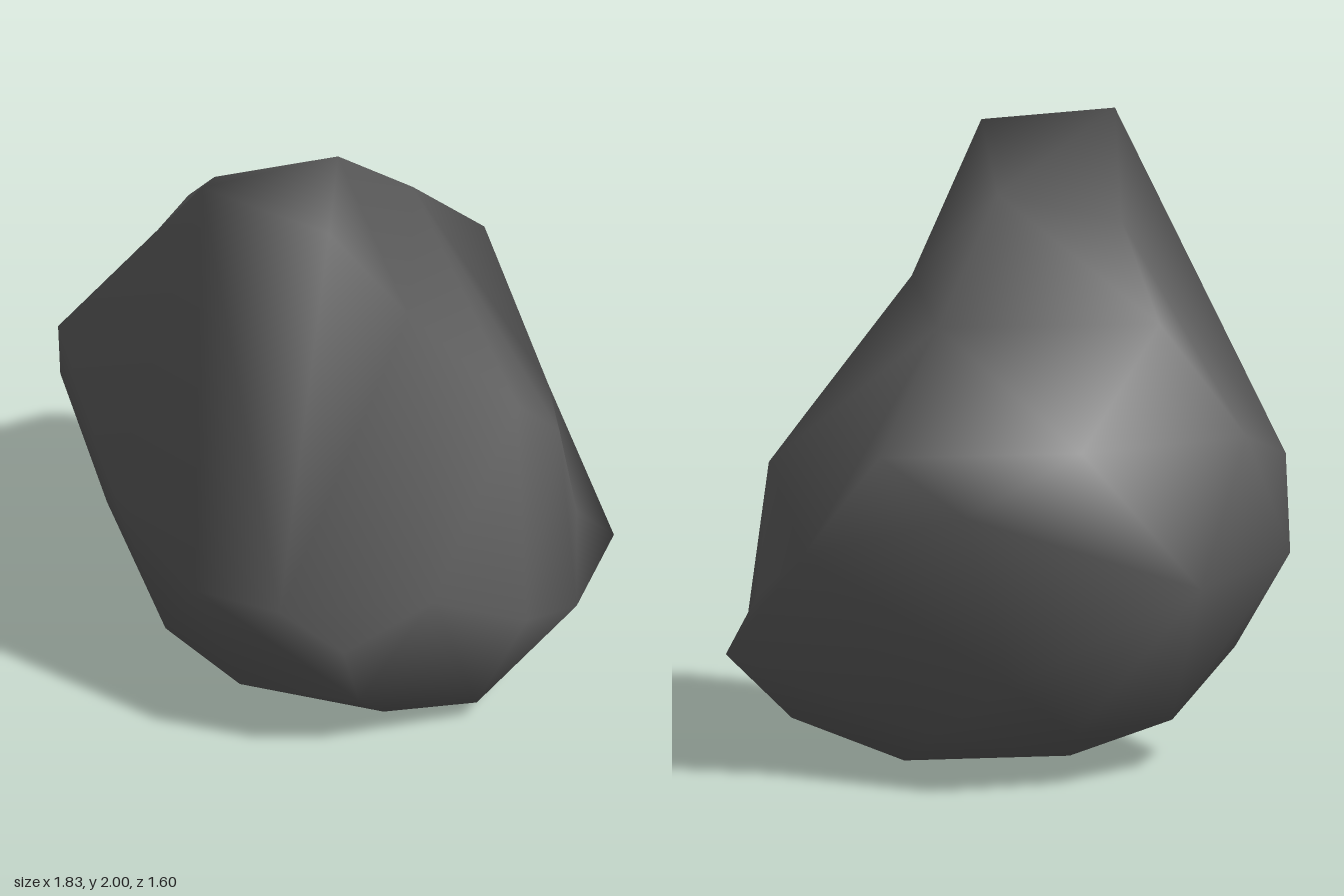
import * as THREE from 'three';
import { ConvexGeometry } from 'three/addons/geometries/ConvexGeometry.js';
import { mergeVertices } from 'three/addons/utils/BufferGeometryUtils.js';

// Corner points of the boulder, [x, y, z], in layers from the peak down
const peak = [
  [-0.04, 2.0, 0.69], [0.4, 1.94, 0.62], [0.06, 1.81, 0.05], [-0.28, 1.72, 0.25],
];
const shoulder = [
  [0.48, 1.48, 0.28], [-0.53, 1.44, 0.02], [0.05, 1.45, -0.4],
  [0.71, 1.07, 0.0], [-0.76, 1.07, 0.18], [-0.83, 1.0, 0.32],
  [0.06, 1.09, -0.8], [-0.51, 1.1, -0.5],
];
const belly = [
  [-0.92, 0.71, 0.17], [-0.9, 0.68, -0.43], [-0.2, 0.9, -0.71], [0.42, 0.72, -0.62],
  [0.78, 0.92, -0.14], [0.33, 0.58, 0.8], [-0.02, 0.52, 0.76], [-0.48, 0.6, 0.53],
  [0.52, 0.45, 0.72], [0.68, 0.55, 0.44], [0.91, 0.46, 0.25], [0.91, 0.36, -0.04],
  [0.74, 0.52, -0.3], [0.77, 0.35, -0.47], [-0.36, 0.37, -0.71], [-0.67, 0.37, 0.28],
];
const underside = [
  [-0.56, 0.16, 0.05], [-0.25, 0.2, 0.58], [0.5, 0.2, 0.6], [0.0, 0.05, 0.53],
  [0.43, 0.0, 0.35], [0.7, 0.06, 0.22], [-0.03, 0.015, 0.2], [-0.22, 0.025, 0.0],
  [0.2, 0.03, -0.34], [0.0, 0.15, -0.53], [-0.42, 0.16, -0.36], [0.62, 0.13, -0.3],
];

// Skin the corners as seen from the core, so shallow hollows are kept
function skin(points, core) {
  const corners = points.map((p) => new THREE.Vector3(...p));
  const dirs = corners.map((c) => c.clone().sub(core).normalize());
  const geometry = new ConvexGeometry(dirs);
  geometry.deleteAttribute('normal');
  const pos = geometry.attributes.position;
  const v = new THREE.Vector3();
  for (let i = 0; i < pos.count; i++) {
    v.fromBufferAttribute(pos, i);
    let best = 0;
    dirs.forEach((d, k) => {
      if (d.distanceToSquared(v) < dirs[best].distanceToSquared(v)) best = k;
    });
    pos.setXYZ(i, ...corners[best].toArray());
  }
  const smooth = mergeVertices(geometry);
  smooth.computeVertexNormals();
  return smooth;
}

export function createModel() {
  const group = new THREE.Group();
  group.name = 'rock';
  const boulder = new THREE.Mesh(
    skin([...peak, ...shoulder, ...belly, ...underside], new THREE.Vector3(0, 0.75, 0.05)),
    new THREE.MeshStandardMaterial({ color: 0x5c5c5c }),
  );
  boulder.name = 'boulder';
  group.add(boulder);
  return group;
}
